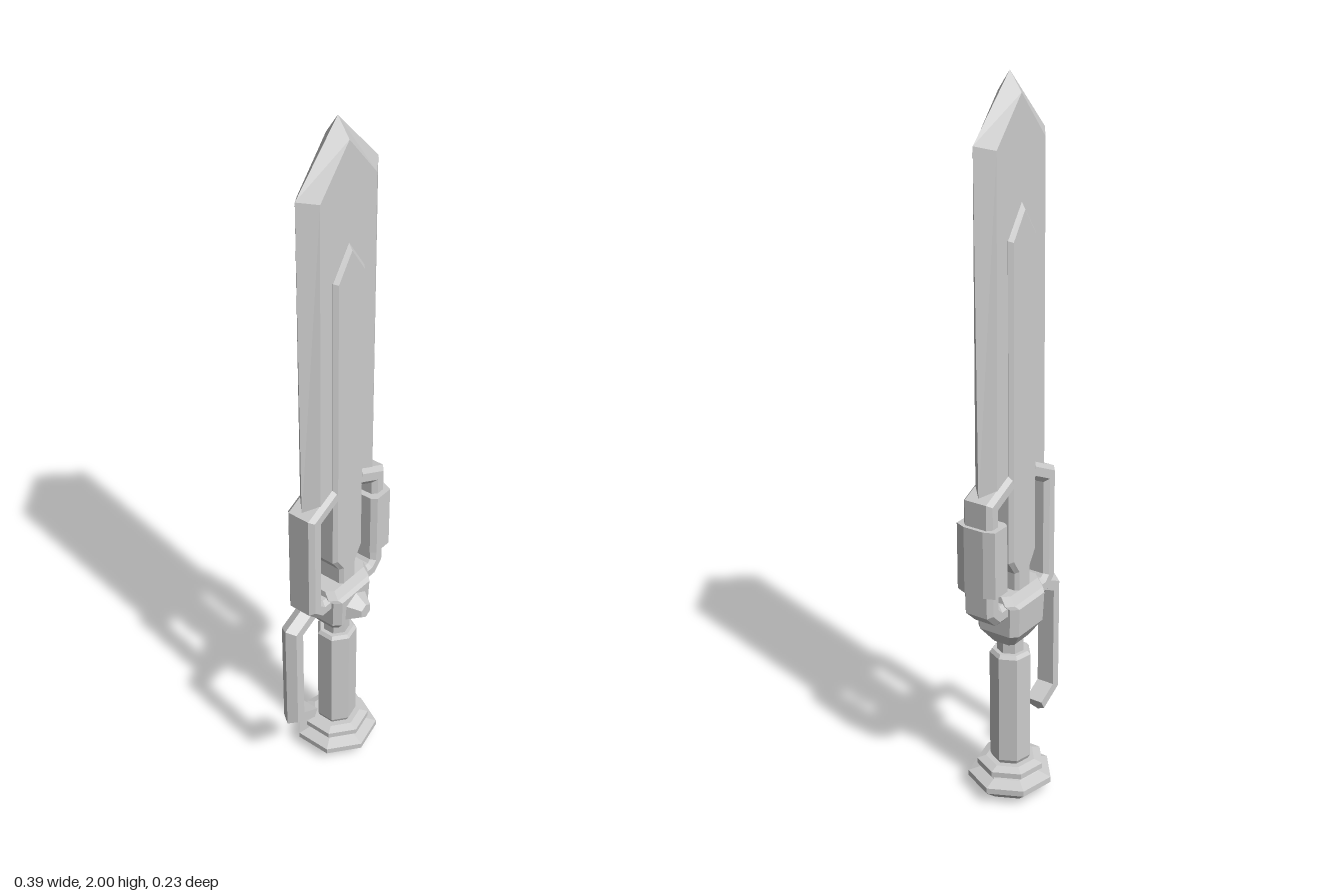
import * as THREE from 'three';

const material = new THREE.MeshStandardMaterial({ color: 0xcccccc, flatShading: true });

function addMesh(parent, name, geometry) {
  const g = geometry.index ? geometry.toNonIndexed() : geometry;
  g.computeVertexNormals();
  const mesh = new THREE.Mesh(g, material);
  mesh.name = name;
  parent.add(mesh);
  return mesh;
}

// Closed solid through rings of equal point count, capped at both ends
function loft(rings) {
  const tris = [];
  const n = rings[0].length;
  for (let r = 0; r < rings.length - 1; r++) {
    for (let i = 0; i < n; i++) {
      const j = (i + 1) % n, a = rings[r], b = rings[r + 1];
      tris.push([a[i], a[j], b[j]], [a[i], b[j], b[i]]);
    }
  }
  const cap = (ring, flip) => {
    const mid = [0, 1, 2].map(k => ring.reduce((s, p) => s + p[k], 0) / n);
    ring.forEach((p, i) => {
      const q = ring[(i + 1) % n];
      tris.push(flip ? [mid, q, p] : [mid, p, q]);
    });
  };
  cap(rings[0], true);
  cap(rings[rings.length - 1], false);
  // Turn the faces outward when the enclosed volume is negative
  const v = p => new THREE.Vector3(...p);
  const volume = tris.reduce((s, [a, b, c]) => s + v(a).dot(v(b).cross(v(c))), 0);
  if (volume < 0) tris.forEach(t => t.reverse());
  const g = new THREE.BufferGeometry();
  g.setAttribute('position', new THREE.Float32BufferAttribute(tris.flat(2), 3));
  return g;
}

// Sweep an [offset, z] section along a path in the xy plane with mitred corners
function sweep(path, section) {
  const pts = path.map(p => new THREE.Vector2(...p));
  const dir = i => pts[i + 1].clone().sub(pts[i]).normalize();
  return loft(pts.map((p, i) => {
    const d0 = dir(Math.max(i - 1, 0)), d1 = dir(Math.min(i, pts.length - 2));
    const n0 = new THREE.Vector2(d0.y, -d0.x), n1 = new THREE.Vector2(d1.y, -d1.x);
    const m = n0.clone().add(n1).normalize();
    m.divideScalar(m.dot(n1));
    return section.map(([o, z]) => [p.x + m.x * o, p.y + m.y * o, z]);
  }));
}

// Symmetric outline from its right half, listed from the tip down
function outline(half, z) {
  const left = half.filter(p => p[0] > 0).reverse().map(([x, y]) => [-x, y]);
  return [...half, ...left].map(([x, y]) => [x, y, z]);
}

// Rectangle with cut corners at height y
function cutRect(w, d, c, y) {
  return [[w, d - c], [w - c, d], [c - w, d], [-w, d - c],
    [-w, c - d], [c - w, -d], [w - c, -d], [w, c - d]].map(([x, z]) => [x, y, z]);
}

function turned(points) {
  return new THREE.LatheGeometry(points.map(p => new THREE.Vector2(...p)), 7, Math.PI / 2);
}

export function createModel() {
  const root = new THREE.Group();
  root.name = 'sword';
  const sword = new THREE.Group();
  sword.name = 'swordBody';
  sword.position.x = 0.024;
  root.add(sword);

  // Seven-sided pommel, grip and neck
  addMesh(sword, 'pommel', turned([[0, 0], [0.077, 0], [0.12, 0.035], [0.12, 0.052], [0.085, 0.064],
    [0.078, 0.072], [0.095, 0.076], [0.095, 0.092], [0.07, 0.1], [0, 0.1]]));
  addMesh(sword, 'grip', turned([[0, 0.1], [0.052, 0.1], [0.058, 0.112], [0.058, 0.435], [0.05, 0.445], [0, 0.445]]));
  addMesh(sword, 'neck', turned([[0, 0.44], [0.038, 0.44], [0.038, 0.5], [0, 0.5]]));

  // Hub with faceted gem on its front
  addMesh(sword, 'hub', loft([cutRect(0.045, 0.035, 0.012, 0.48), cutRect(0.076, 0.066, 0.018, 0.525),
    cutRect(0.078, 0.07, 0.018, 0.61), cutRect(0.086, 0.06, 0.018, 0.62), cutRect(0.083, 0.045, 0.018, 0.645)]));
  const gem = addMesh(sword, 'gem', new THREE.CylinderGeometry(0.022, 0.05, 0.04, 6));
  gem.rotation.x = Math.PI / 2;
  gem.position.set(0, 0.56, 0.085);

  // Blade with bevelled cutting edge
  const edge = [[0, 2], [0.153, 1.845], [0.145, 0.93]];
  const flat = [[0, 1.95], [0.105, 1.83], [0.11, 0.93]];
  addMesh(sword, 'blade', loft([outline(flat, -0.034), outline(edge, 0), outline(flat, 0.034)]));

  // Raised spine through the blade, narrowing into the hub
  const spineOuter = [[0, 1.69], [0.06, 1.605], [0.06, 0.735], [0.032, 0.695], [0.032, 0.6]];
  const spineInner = [[0, 1.672], [0.05, 1.6], [0.05, 0.74], [0.024, 0.7], [0.024, 0.6]];
  addMesh(sword, 'spine', loft([outline(spineInner, -0.045), outline(spineOuter, -0.035),
    outline(spineOuter, 0.035), outline(spineInner, 0.045)]));

  // Mirrored guard arms framing the base of the blade
  const armSection = [[0.025, 0.033], [0.012, 0.045], [-0.012, 0.045], [-0.025, 0.033],
    [-0.025, -0.033], [-0.012, -0.045], [0.012, -0.045], [0.025, -0.033]];
  for (const s of [1, -1]) {
    const path = [[0.05, 0.965], [0.134, 0.925], [0.134, 0.625], [0.11, 0.602], [0.05, 0.602]];
    addMesh(sword, s > 0 ? 'leftGuardArm' : 'rightGuardArm', sweep(path.map(([x, y]) => [s * x, y]), armSection));
  }

  // Sleeve on the left arm
  const sleeve = [[0.091, 0.045], [0.103, 0.06], [0.158, 0.06], [0.17, 0.03],
    [0.17, -0.03], [0.158, -0.06], [0.103, -0.06], [0.091, -0.045]];
  addMesh(sword, 'sleeve', loft([0.68, 0.87].map(y => sleeve.map(([x, z]) => [x, y, z]))));

  // Hooked finger guard with a pointed outer edge
  addMesh(sword, 'fingerGuard', sweep([[-0.115, 0.605], [-0.199, 0.565], [-0.199, 0.235], [-0.128, 0.197]],
    [[0.022, 0], [0.006, 0.026], [-0.022, 0.026], [-0.022, -0.026], [0.006, -0.026]]));

  return root;
}
